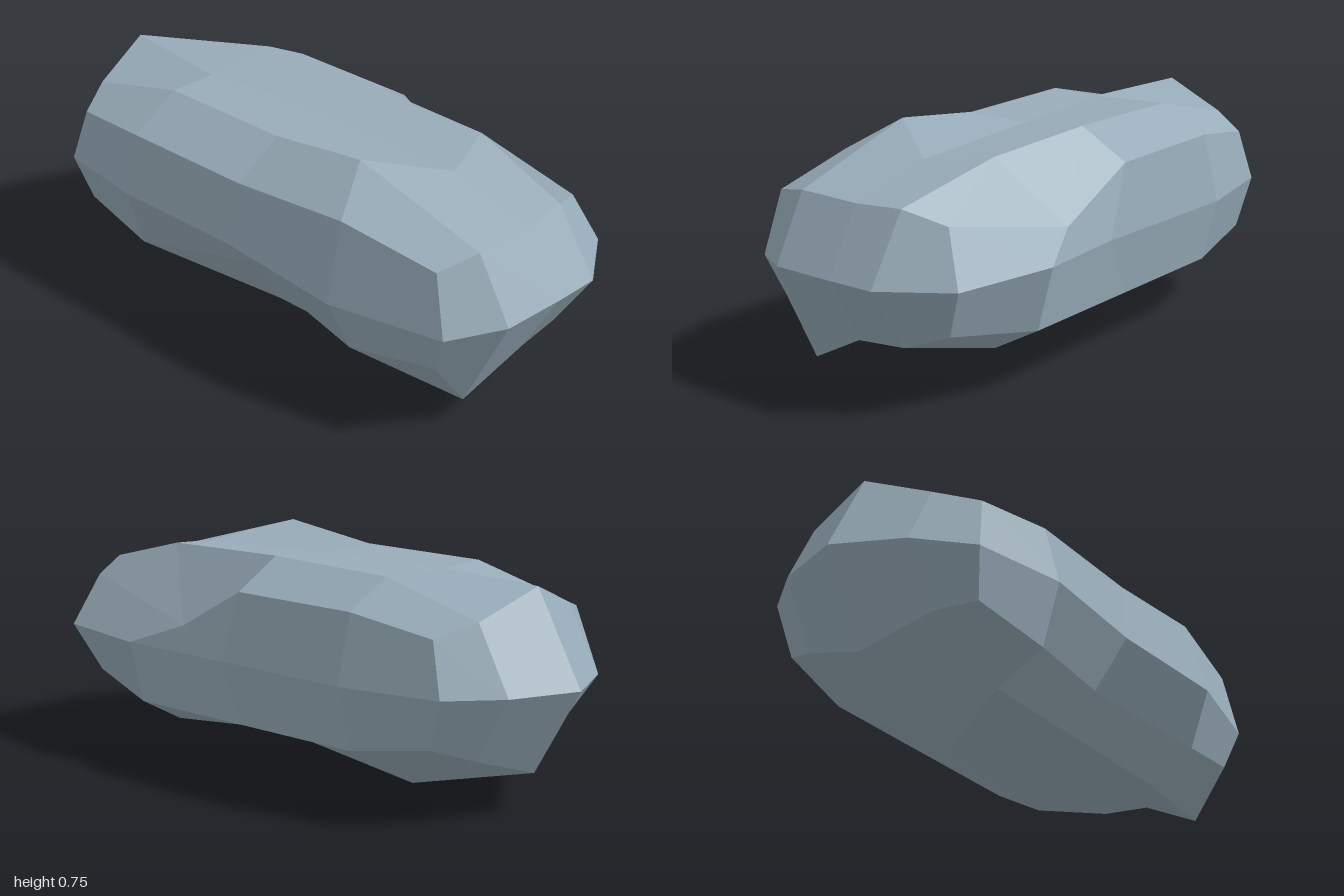
import * as THREE from 'three';

// Body cross-section, clockwise seen from the front:
// five top points, right side, five bottom points, left side
const section = [
  [-0.385, 0.61], [-0.212, 0.71], [0.01, 0.705], [0.235, 0.715], [0.4, 0.63],
  [0.455, 0.41],
  [0.4, 0.2], [0.235, 0.11], [0.01, 0.1], [-0.21, 0.11], [-0.375, 0.205],
  [-0.44, 0.4],
];
const RIGHT = 5, LEFT = 11, MID_Y = 0.41;

// Strips whose faces are split along the other diagonal
const flippedStrips = [0, 1, 2, 3, 6];

// How the section shrinks at the ends, by column: centre, inner, corner, side
const endWidth = [1, 1, 0.9, 0.85];
const endHeight = [0.7, 0.7, 0.78, 1];
const columnOf = (k) => (k === RIGHT || k === LEFT ? 3 : Math.abs((k % 6) - 2));

const bodyRing = (z) => section.map(([x, y]) => [x, y, z]);
const endRing = (depths) => section.map(([x, y], k) => {
  const c = columnOf(k);
  return [x * endWidth[c], MID_Y + (y - MID_Y) * endHeight[c], depths[c]];
});

// Chipped and swollen points: ring, point, then the shift in x, y and z
const frontChips = [
  [0, 0, 0, 0.024, 0], [0, 3, -0.06, 0, 0], [0, 4, -0.05, 0, 0], [0, 6, -0.05, 0, 0],
  [0, 7, -0.06, 0, 0], [0, 9, 0, -0.12, -0.04], [0, 11, 0, -0.01, 0],
];
const bodyChips = [
  [1, 0, 0, 0.035, -0.03], [1, 1, 0, 0.045, -0.11], [1, 2, 0.01, -0.015, 0.07],
  [1, 4, -0.02, -0.15, -0.18], [1, 11, -0.015, -0.01, -0.02],
  [2, 3, 0, 0.01, 0], [2, 5, -0.05, -0.015, 0.08], [2, 7, 0.075, 0.085, 0],
  [2, 8, 0, 0.05, 0], [2, 10, 0.1, 0.06, 0], [2, 11, 0.02, 0, -0.04],
  [3, 2, -0.05, 0, 0], [3, 8, 0, -0.1, 0.08], [3, 11, 0.005, 0.01, 0],
];
const backChips = [
  [4, 0, 0, 0.015, 0], [4, 2, 0, 0.09, 0], [4, 8, 0, -0.065, 0], [4, 9, 0, 0.03, 0.02],
];

function rockGeometry() {
  const rings = [
    endRing([0.87, 0.86, 0.81, 0.865]),
    bodyRing(0.5), bodyRing(0.04), bodyRing(-0.43),
    endRing([-0.835, -0.79, -0.72, -0.77]),
  ];
  for (const [r, k, ...shift] of [...frontChips, ...bodyChips, ...backChips]) {
    rings[r][k] = rings[r][k].map((v, axis) => v + shift[axis]);
  }

  // Four-sided facet with one normal, split along a-c or, if flipped, b-d
  const positions = [], normals = [];
  const quad = (corners, flip) => {
    const [a, b, c, d] = corners.map((p) => new THREE.Vector3(...p));
    const normal = c.clone().sub(a).cross(d.clone().sub(b)).normalize();
    for (const p of flip ? [a, b, d, b, c, d] : [a, b, c, a, c, d]) {
      positions.push(...p);
      normals.push(...normal);
    }
  };

  // Skin between neighbouring rings
  for (let i = 0; i < rings.length - 1; i++) {
    const near = rings[i], far = rings[i + 1];
    near.forEach((point, k) => {
      const next = (k + 1) % near.length;
      quad([point, near[next], far[next], far[k]], flippedStrips.includes(k));
    });
  }

  // End caps: two rows of four faces meeting on a bulging middle row
  const cap = (ring, tipDepths, isBack) => {
    const tip = tipDepths.map((z, k) => [ring[k + 1][0], MID_Y, z]);
    const rows = [ring.slice(0, 5), [ring[LEFT], ...tip, ring[RIGHT]], ring.slice(6, 11).reverse()];
    for (let r = 0; r < 2; r++) {
      for (let k = 0; k < 4; k++) {
        const face = [rows[r + 1][k], rows[r + 1][k + 1], rows[r][k + 1], rows[r][k]];
        // Split from the outer corner towards the tip
        const fromCorner = (r === 0) === (k < 2);
        if (isBack) face.reverse();
        quad(face, fromCorner !== isBack);
      }
    }
  };
  cap(rings[0], [0.98, 0.995, 1], false);
  cap(rings[4], [-0.905, -1, -0.905], true);

  const geometry = new THREE.BufferGeometry();
  geometry.setAttribute('position', new THREE.Float32BufferAttribute(positions, 3));
  geometry.setAttribute('normal', new THREE.Float32BufferAttribute(normals, 3));
  return geometry;
}

export function createModel() {
  const stone = new THREE.MeshStandardMaterial({ color: 0x98acb9 });
  stone.name = 'blue grey stone';
  const rock = new THREE.Mesh(rockGeometry(), stone);
  rock.name = 'rock';
  const group = new THREE.Group();
  group.name = 'boulder';
  group.add(rock);
  return group;
}
